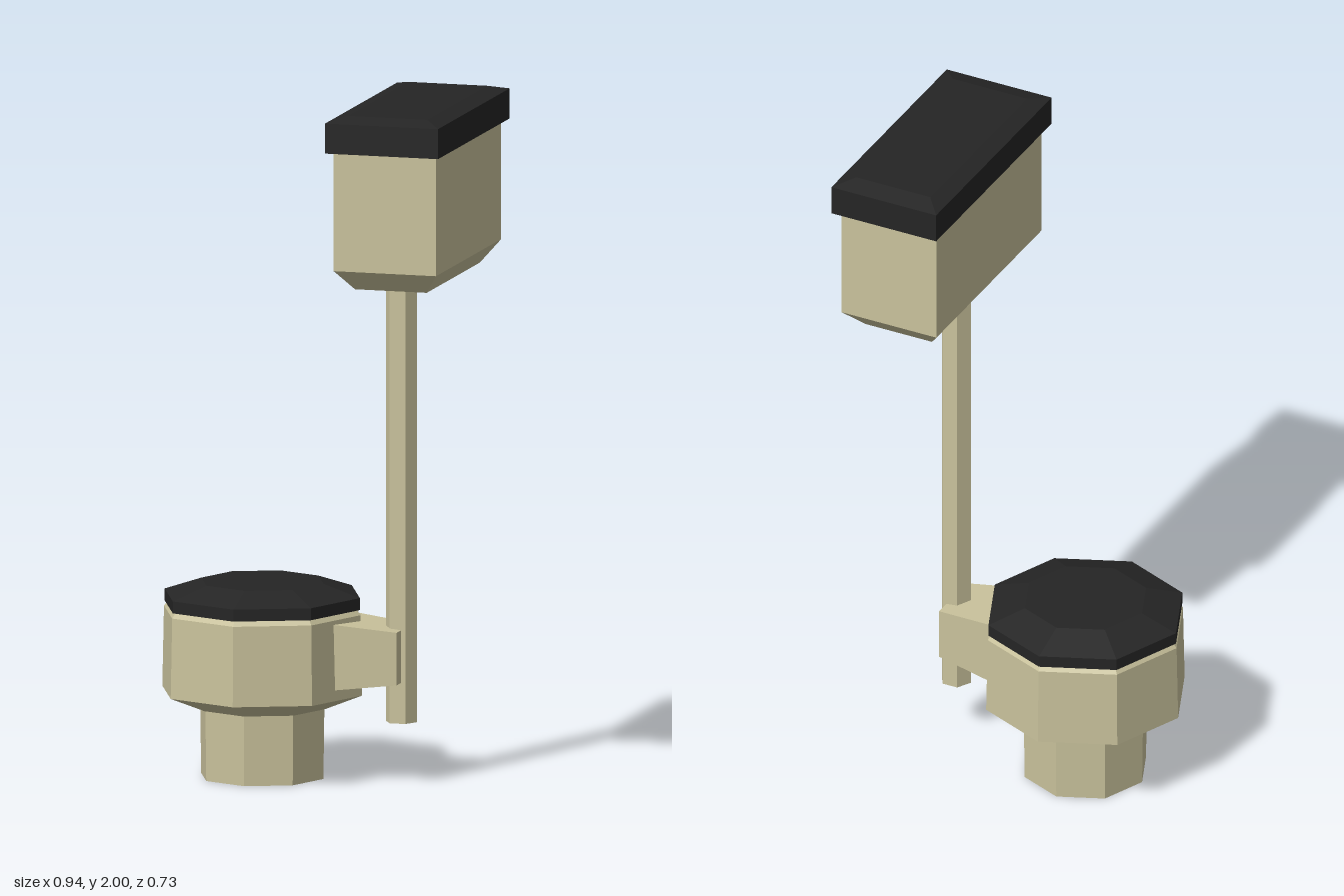
import * as THREE from 'three';

// Low-poly turned shape from [radius, y] points, bottom to top.
function turned(points, sides, phi = 0) {
  return new THREE.LatheGeometry(points.map(([r, y]) => new THREE.Vector2(r, y)), sides, phi);
}

// Closed rectangular block from [y, halfX, halfZ] sections, bottom to top.
function block(sections) {
  const rings = sections.map(([y, hx, hz]) => [[-hx, y, hz], [hx, y, hz], [hx, y, -hz], [-hx, y, -hz]]);
  const pos = [];
  const quad = (a, b, c, d) => [a, b, c, a, c, d].forEach((p) => pos.push(...p));
  for (let i = 0; i < rings.length - 1; i++) {
    for (let j = 0; j < 4; j++) {
      const k = (j + 1) % 4;
      quad(rings[i][j], rings[i][k], rings[i + 1][k], rings[i + 1][j]);
    }
  }
  quad(...rings[rings.length - 1]);
  quad(...[...rings[0]].reverse());
  const geometry = new THREE.BufferGeometry();
  geometry.setAttribute('position', new THREE.Float32BufferAttribute(pos, 3));
  geometry.computeVertexNormals();
  return geometry;
}

export function createModel() {
  const group = new THREE.Group();
  group.name = 'highTankToilet';
  const cream = new THREE.MeshStandardMaterial({ name: 'cream', color: 0xc9c29c, flatShading: true });
  const black = new THREE.MeshStandardMaterial({ name: 'black', color: 0x252525, flatShading: true });

  const add = (name, geometry, material, x = 0, y = 0) => {
    const mesh = new THREE.Mesh(geometry, material);
    mesh.name = name;
    mesh.position.set(x, y, 0);
    group.add(mesh);
    return mesh;
  };

  // Octagonal foot, bowl and seat cover
  const bowlX = -0.17;
  add('foot', turned([[0, 0], [0.184, 0], [0.187, 0.21], [0, 0.21]], 8), cream, bowlX);
  add('bowl', turned([[0, 0.205], [0.19, 0.205], [0.301, 0.25], [0.296, 0.485], [0.283, 0.502], [0, 0.502]], 8), cream, bowlX);
  add('seatLid', turned([[0, 0.5], [0.294, 0.5], [0.294, 0.535], [0.184, 0.572], [0, 0.572]], 8), black, bowlX);

  // Tapered neck joining the bowl to the pipe
  const neck = block([[0.04, 0.1, 0.121], [0.26, 0.077, 0.087]]);
  neck.rotateZ(-Math.PI / 2);
  add('neck', neck, cream, 0, 0.377);

  // Hexagonal flush pipe
  add('pipe', turned([[0, 0.18], [0.047, 0.18], [0.047, 1.5], [0, 1.5]], 6, Math.PI / 2), cream, 0.249);

  // High tank and its cover
  const tankX = 0.297;
  add('tank', block([[1.487, 0.108, 0.27], [1.548, 0.154, 0.332], [1.91, 0.154, 0.332]]), cream, tankX);
  add('tankLid', block([[1.897, 0.17, 0.365], [1.985, 0.17, 0.365], [2.0, 0.12, 0.305]]), black, tankX);

  return group;
}
